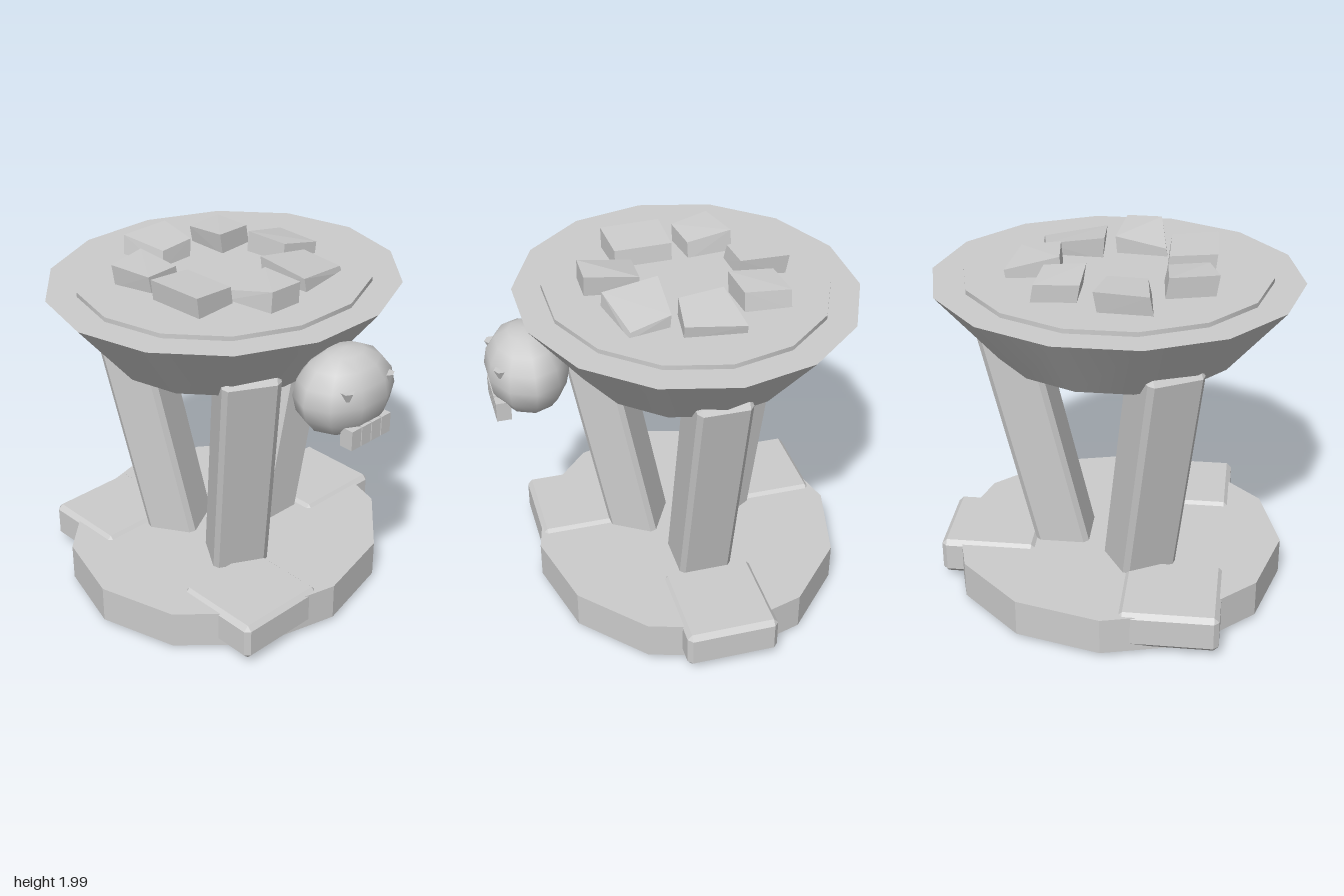
import * as THREE from 'three';
import { ConvexGeometry } from 'three/addons/geometries/ConvexGeometry.js';

const stone = new THREE.MeshStandardMaterial({ color: 0xcccccc });
stone.name = 'stone';
const facetedStone = stone;

// Box whose edges are all chamfered
function chamferBox(w, h, d, b) {
  const pts = [];
  const half = [w / 2, h / 2, d / 2];
  for (const sx of [-1, 1]) for (const sy of [-1, 1]) for (const sz of [-1, 1])
    for (let k = 0; k < 3; k++) {
      const p = half.map((v, i) => (i === k ? v : v - b));
      pts.push(new THREE.Vector3(p[0] * sx, p[1] * sy, p[2] * sz));
    }
  return new ConvexGeometry(pts);
}

function add(parent, name, geometry, x = 0, y = 0, z = 0) {
  const mesh = new THREE.Mesh(geometry, facetedStone);
  mesh.name = name;
  mesh.position.set(x, y, z);
  parent.add(mesh);
  return mesh;
}

const drum = (top, bottom, h, sides) =>
  new THREE.CylinderGeometry(top, bottom, h, sides, 1, false, Math.PI / 2);

function flat(geometry) {
  const g = geometry.toNonIndexed();
  g.computeVertexNormals();
  return g;
}

export function createModel() {
  const model = new THREE.Group();
  model.name = 'brazier';

  // Round body, slightly squashed from front to back
  const body = new THREE.Group();
  body.name = 'body';
  body.position.z = -0.095;
  body.scale.z = 0.925;
  model.add(body);

  add(body, 'base', flat(drum(0.948, 0.948, 0.215, 12)), 0, 0.1425, 0);
  add(body, 'bowl', drum(1, 0.67, 0.39, 14), 0, 1.665, 0);
  add(body, 'emberBed', drum(0.83, 0.83, 0.06, 14), 0, 1.855, 0);

  // Three leaning legs and square feet
  const legShape = chamferBox(0.3, 1.61, 0.325, 0.028);
  const footShape = chamferBox(0.55, 0.215, 0.56, 0.028);
  for (let i = 0; i < 3; i++) {
    const a = (i * Math.PI * 2) / 3;
    const pivot = new THREE.Group();
    pivot.name = 'legPivot';
    pivot.rotation.y = a;
    body.add(pivot);
    add(pivot, 'leg', legShape, 0.4375, 0.82, 0).rotation.z = -0.225;
    add(body, 'foot', footShape, 0.722 * Math.cos(a), 0.162, 0.722 * Math.sin(a));
  }

  // Coals: four top corners as x, z, y, and the drift of the lower corners
  const coals = [
    { top: [-0.225, -0.665, 1.99, 0.06, -0.65, 2, 0.02, -0.39, 1.98, -0.19, -0.38, 1.97], dx: -0.02, dz: 0.015 },
    { top: [0.14, -0.53, 1.98, 0.375, -0.55, 1.98, 0.36, -0.3, 1.99, 0.14, -0.28, 2], dx: 0.02, dz: 0 },
    { top: [-0.555, -0.37, 2, -0.3, -0.435, 2, -0.275, -0.18, 1.97, -0.49, -0.15, 1.98], dx: 0.02, dz: 0 },
    { top: [0.29, -0.21, 2, 0.58, -0.25, 1.93, 0.54, 0.07, 1.95, 0.32, 0.04, 1.99], dx: -0.01, dz: 0 },
    { top: [-0.53, -0.085, 2, -0.275, -0.09, 1.98, -0.265, 0.23, 1.98, -0.515, 0.25, 2], dx: 0.015, dz: 0 },
    { top: [-0.24, 0.145, 1.93, 0.04, 0.17, 1.98, 0.005, 0.46, 2, -0.19, 0.455, 2], dx: -0.01, dz: 0 },
    { top: [0.09, 0.085, 2, 0.41, 0.1, 1.95, 0.455, 0.325, 1.91, 0.11, 0.39, 1.96], dx: 0.01, dz: 0.01 },
  ];
  for (const { top, dx, dz } of coals) {
    const pts = [];
    for (let i = 0; i < 12; i += 3) {
      pts.push(new THREE.Vector3(top[i], top[i + 2], top[i + 1]));
      pts.push(new THREE.Vector3(top[i] + dx, 1.87, top[i + 1] + dz));
    }
    add(model, 'coal', new ConvexGeometry(pts));
  }

  // Skull on the front of the bowl
  const skull = new THREE.Group();
  skull.name = 'skull';
  skull.position.set(0, 1.515, 0.787);
  model.add(skull);
  const cranium = new THREE.SphereGeometry(1, 10, 8);
  cranium.scale(0.3, 0.237, 0.224);
  add(skull, 'cranium', cranium);
  for (const s of [-1, 1]) {
    const eye = add(skull, 'eye', flat(new THREE.ConeGeometry(0.04, 0.09, 6)), s * 0.15, 0.05, 0.155);
    eye.rotation.x = Math.PI;
  }
  for (let i = 0; i < 4; i++)
    add(skull, 'tooth', new THREE.BoxGeometry(0.068, 0.11, 0.08), (i - 1.5) * 0.075, -0.175, 0.158);

  return model;
}
